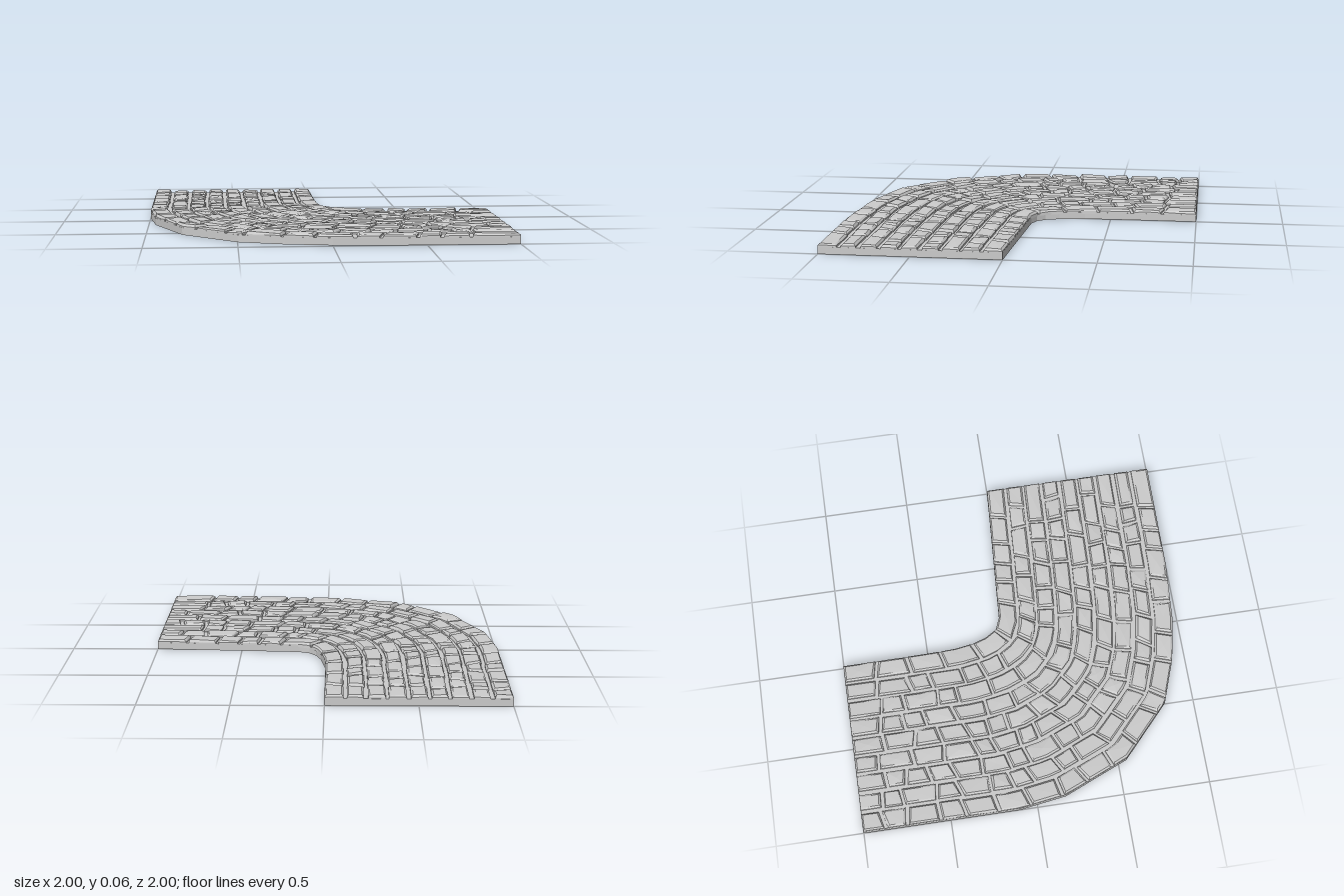
import * as THREE from 'three';

// Matching points [x, z] along the outer and inner edge of the bend
const OUTER = [[-1, -1], [-1, -0.6], [-1, -0.1], [-0.96, 0.17], [-0.8, 0.55], [-0.5, 0.83], [-0.25, 0.92], [0, 0.97], [0.35, 0.995], [1, 1]];
const INNER = [[0, -1], [0, -0.65], [0.005, -0.35], [0.03, -0.2], [0.06, -0.12], [0.1, -0.075], [0.16, -0.05], [0.3, -0.042], [0.55, -0.027], [1, 0]];
const ROWS = 9;
const MORTAR_Y = 0.04;
const STONE_BASE = 0.03;

let seed = 7;
function rand(a, b) {
  seed = (seed * 16807) % 2147483647;
  return a + (b - a) * (seed / 2147483647);
}

const lerp = THREE.MathUtils.lerp;

// Point on the path: s is the station along it, u runs from outer (0) to inner (1) edge
function pathPoint(s, u) {
  const i = Math.min(Math.floor(s), OUTER.length - 2);
  const f = s - i;
  const mix = (k) => lerp(lerp(OUTER[i][k], OUTER[i + 1][k], f), lerp(INNER[i][k], INNER[i + 1][k], f), u);
  return [mix(0), mix(1)];
}

// Converts a distance along one row to a station
function makeRuler(u) {
  const dist = [0];
  for (let i = 1; i < OUTER.length; i++) {
    const a = pathPoint(i - 1, u), b = pathPoint(i, u);
    dist.push(dist[i - 1] + Math.hypot(b[0] - a[0], b[1] - a[1]));
  }
  const total = dist[dist.length - 1];
  const station = (d) => {
    const c = THREE.MathUtils.clamp(d, 0, total);
    let i = 0;
    while (i < dist.length - 2 && dist[i + 1] < c) i++;
    return i + (c - dist[i]) / (dist[i + 1] - dist[i]);
  };
  return { total, station };
}

function makeMesh(name, positions, material) {
  const geometry = new THREE.BufferGeometry();
  geometry.setAttribute('position', new THREE.Float32BufferAttribute(positions, 3));
  geometry.computeVertexNormals();
  const mesh = new THREE.Mesh(geometry, material);
  mesh.name = name;
  return mesh;
}

// One paving stone: bottom, shoulder and inset top ring, closed by two fans
function addStone(out, station, d, u) {
  const ring = (inset, height) => {
    const { a0, a1, b0, b1 } = d;
    const ui = u.map((v, k) => v + (k ? -inset : inset));
    const corners = [
      [a0 + inset, ui[0]], [(a0 + b0) / 2, ui[0]], [b0 - inset, ui[0]],
      [b1 - inset, ui[1]], [(a1 + b1) / 2, ui[1]], [a1 + inset, ui[1]],
    ];
    return corners.map(([dd, uu], i) => {
      const [x, z] = pathPoint(station(dd), uu);
      return [x, height(i), z];
    });
  };
  const top = rand(0.056, 0.06);
  const tiltA = rand(-0.003, 0.003), tiltB = rand(-0.002, 0.002);
  const rings = [
    ring(0, () => STONE_BASE),
    ring(0.001, () => rand(0.046, 0.051)),
    ring(rand(0.007, 0.013), (i) => top + tiltA * ((i % 3) - 1) * (i < 3 ? 1 : -1) + (i < 3 ? tiltB : -tiltB)),
  ];
  const centre = (r, y) => [r.reduce((t, p) => t + p[0], 0) / 6, y, r.reduce((t, p) => t + p[2], 0) / 6];
  const low = centre(rings[0], STONE_BASE);
  const high = centre(rings[2], top + rand(-0.001, 0.003));
  for (let i = 0; i < 6; i++) {
    const j = (i + 1) % 6;
    for (let k = 0; k < 2; k++) {
      const p = rings[k], q = rings[k + 1];
      out.push(...p[i], ...p[j], ...q[j], ...p[i], ...q[j], ...q[i]);
    }
    out.push(...high, ...rings[2][i], ...rings[2][j]);
    out.push(...low, ...rings[0][j], ...rings[0][i]);
  }
}

function buildRow(row, material) {
  const ruler = makeRuler((row + 0.5) / ROWS);
  // Cut the row into stones of uneven length, with slightly skewed joints
  const joints = [{ d: 0, skew: 0 }];
  let d = rand(0.12, 0.2);
  while (d < ruler.total - 0.1) {
    joints.push({ d, skew: rand(-0.012, 0.012) });
    d += rand(0.11, 0.21);
  }
  joints.push({ d: ruler.total, skew: 0 });

  const positions = [];
  for (let i = 0; i < joints.length - 1; i++) {
    const a = joints[i], b = joints[i + 1];
    const gapA = i === 0 ? 0 : rand(0.006, 0.011);
    const gapB = i === joints.length - 2 ? 0 : rand(0.006, 0.011);
    const u0 = row === 0 ? 0 : row / ROWS + rand(0.006, 0.014);
    const u1 = row === ROWS - 1 ? 1 : (row + 1) / ROWS - rand(0.006, 0.014);
    addStone(positions, ruler.station, {
      a0: a.d + a.skew + gapA, a1: a.d - a.skew + gapA,
      b0: b.d + b.skew - gapB, b1: b.d - b.skew - gapB,
    }, [u0, u1]);
  }
  return makeMesh('stoneRow' + (row + 1), positions, material);
}

// Mortar bed under the stones
function buildMortar(material) {
  const positions = [];
  const at = (s, u) => {
    const [x, z] = pathPoint(s, u);
    return [x, MORTAR_Y, z];
  };
  for (let s = 0; s < OUTER.length - 1; s++) {
    for (let r = 0; r < ROWS; r++) {
      const a = at(s, r / ROWS), b = at(s + 1, r / ROWS);
      const c = at(s + 1, (r + 1) / ROWS), e = at(s, (r + 1) / ROWS);
      positions.push(...a, ...b, ...c, ...a, ...c, ...e);
    }
  }
  return makeMesh('mortarBed', positions, material);
}

// Open-bottomed wall around the whole outline
function buildSkirt(material) {
  const outline = [...OUTER, ...INNER.slice().reverse()];
  const positions = [];
  outline.forEach(([x, z], i) => {
    const [nx, nz] = outline[(i + 1) % outline.length];
    positions.push(x, 0, z, nx, 0, nz, nx, MORTAR_Y, nz);
    positions.push(x, 0, z, nx, MORTAR_Y, nz, x, MORTAR_Y, z);
  });
  return makeMesh('edgeWall', positions, material);
}

export function createModel() {
  seed = 7;
  const group = new THREE.Group();
  group.name = 'curvedStonePath';
  const stone = new THREE.MeshStandardMaterial({ color: 0xcccccc, flatShading: true });
  const thin = new THREE.MeshStandardMaterial({ color: 0xcccccc, flatShading: true, side: THREE.DoubleSide });
  group.add(buildSkirt(thin), buildMortar(thin));
  for (let row = 0; row < ROWS; row++) group.add(buildRow(row, stone));
  return group;
}
